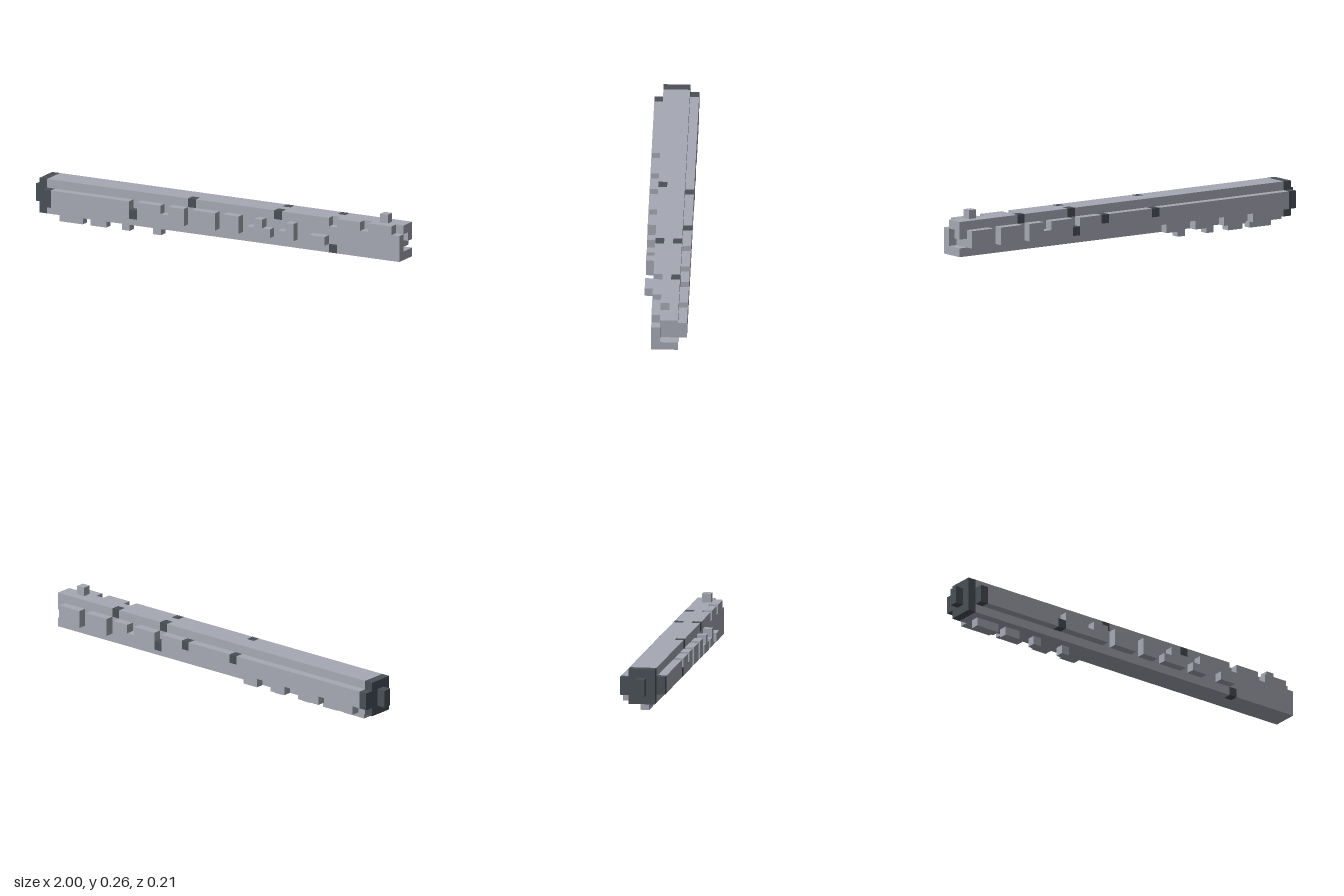
import * as THREE from 'three';

const N = 47;          // cells along the length
const S = 2 / N;       // cell size

const hull = new THREE.MeshStandardMaterial({ color: 0xa6a9b4 });
hull.name = 'light grey';
const dark = new THREE.MeshStandardMaterial({ color: 0x4a5057 });
dark.name = 'dark grey';

export function createModel() {
  const model = new THREE.Group();

  // Box covering whole cells, given as inclusive [first, last] ranges
  function block(parent, mat, [x0, x1], [y0, y1], [z0, z1]) {
    const mesh = new THREE.Mesh(
      new THREE.BoxGeometry((x1 - x0 + 1) * S, (y1 - y0 + 1) * S, (z1 - z0 + 1) * S), mat);
    mesh.position.set(((x0 + x1 + 1) / 2 - N / 2) * S, ((y0 + y1 + 1) / 2) * S,
      ((z0 + z1 + 1) / 2 - 2.5) * S);
    mesh.name = parent.name + 'Block';
    parent.add(mesh);
  }

  // Named group of blocks: each entry is [xRange, yRange, zRange]
  function part(name, mat, blocks) {
    const group = new THREE.Group();
    group.name = name;
    for (const b of blocks) block(group, mat, ...b);
    model.add(group);
  }

  // Several runs along x sharing the same y and z ranges
  const runs = (y, z, ...xs) => xs.map((x) => [x, y, z]);

  // Long beam, with notches in its top edge and its open end
  part('beam', hull, [
    ...runs([4, 4], [3, 3], [2, 19], [21, 30], [32, 37], [39, 41], [43, 45]),
    ...runs([4, 4], [2, 2], [2, 46]),
    ...runs([4, 4], [1, 1], [2, 30], [32, 37], [39, 46]),
    ...runs([2, 3], [3, 3], [2, 46]),
    ...runs([2, 3], [2, 2], [2, 45]),
    ...runs([3, 3], [1, 1], [2, 46]),
    ...runs([2, 2], [1, 1], [2, 45]),
    ...runs([1, 1], [1, 2], [2, 46]),
    ...runs([1, 1], [3, 3], [2, 37], [39, 46]),
  ]);

  // Broken rail along the front
  part('frontRail', hull, [
    ...runs([2, 3], [4, 4], [3, 12], [14, 16], [18, 19], [21, 23], [25, 26], [29, 29], [33, 33]),
    ...runs([2, 2], [4, 4], [17, 17], [28, 28], [30, 30], [32, 32], [36, 37]),
  ]);

  // Broken rail along the back, with small lugs below it
  part('backRail', hull, [
    ...runs([2, 3], [0, 0], [2, 19], [21, 26], [28, 30], [32, 34], [36, 37], [39, 41], [43, 45]),
    ...runs([2, 2], [0, 0], [20, 20], [27, 27], [35, 35]),
  ]);
  part('backLug', hull, runs([1, 1], [0, 0], [3, 6], [8, 10], [13, 14], [17, 18]));

  // Feet under the beam and a stud on top
  part('foot', hull, runs([0, 0], [2, 2], [3, 5], [7, 8], [11, 11], [15, 15]));
  part('topStud', hull, [[[44, 44], [5, 5], [2, 2]]]);

  // Dark end cap and nose
  part('endCap', dark, [
    [[1, 1], [1, 4], [1, 3]],
    [[1, 1], [2, 3], [0, 0]],
    [[2, 2], [2, 3], [4, 4]],
  ]);
  part('nose', dark, [[[0, 0], [2, 3], [2, 2]]]);

  // Dark single-cell inserts
  const inserts = [
    [20, 4, 3], [31, 4, 3], [31, 4, 1], [38, 4, 1], [38, 1, 3],
    [13, 2, 4], [20, 3, 0], [27, 3, 0], [31, 2, 0],
  ];
  part('insert', dark, inserts.map((c) => c.map((v) => [v, v])));

  return model;
}
